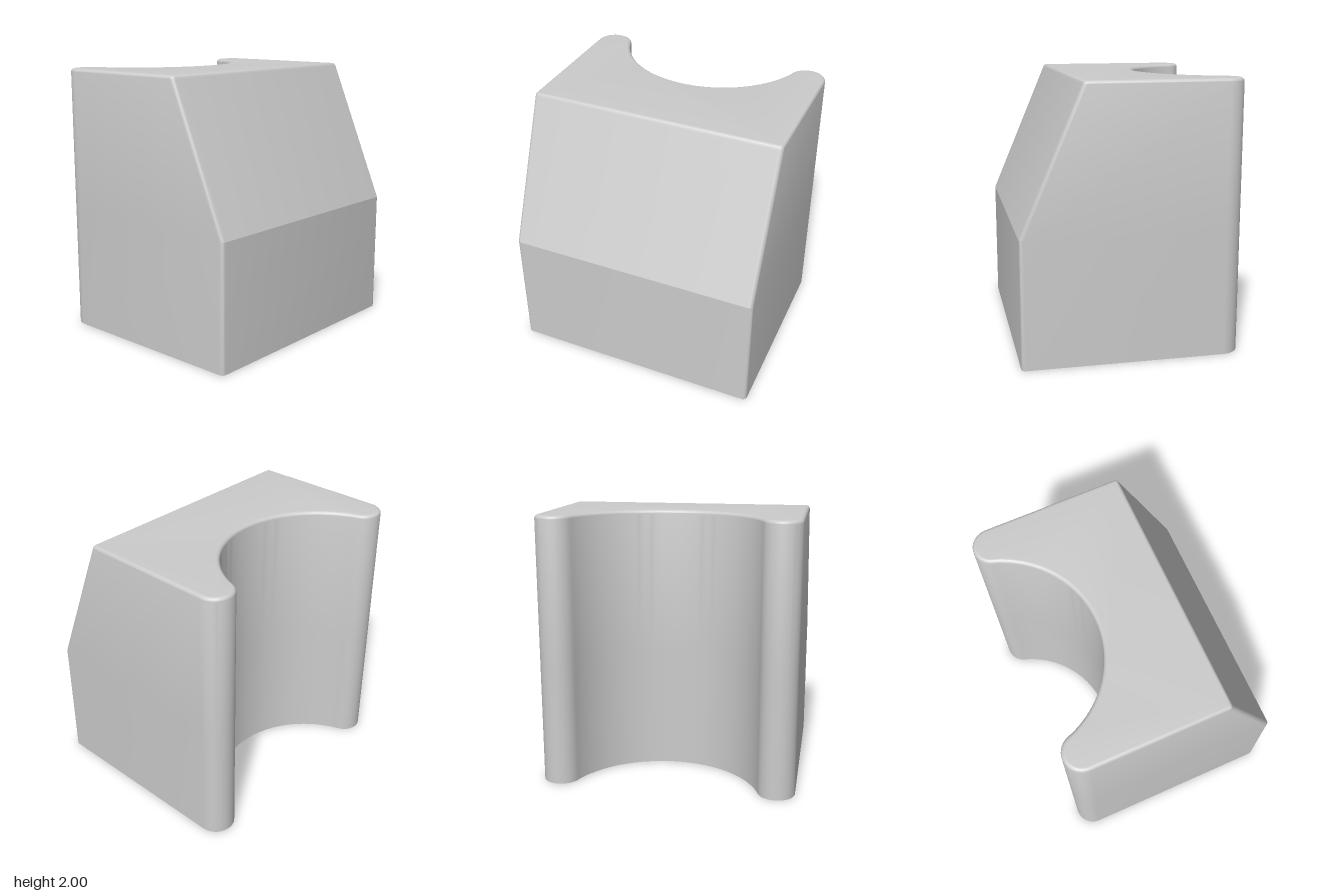
import * as THREE from 'three';
import { toCreasedNormals } from 'three/addons/utils/BufferGeometryUtils.js';

const HALF_DEPTH = 0.95;
const CORNER = 0.03;                                // vertical corner rounding
const FILLET = 0.028;                               // top edge rounding
const TIP = { x: -0.667, z: 0.812, r: 0.138 };      // rounded ends of the arms
const HOLLOW = { x: -0.947, r: 0.722 };             // round cut-out
const KNEE = { x: 0.805, y: 0.935 };                // where the slope starts
const SLOPE = 0.425;                                // x lost per unit of height
const slopeX = (y) => KNEE.x - Math.max(0, y - KNEE.y) * SLOPE;

// Plan outline, shrunk by inset, with its straight side at x = right
function outline(right, inset) {
  const pts = [];
  const arc = (cx, cz, r, from, to, n, skip = 0) => {
    for (let i = skip; i <= n - skip; i++) {
      const a = from + ((to - from) * i) / n;
      pts.push(new THREE.Vector2(cx + r * Math.cos(a), cz + r * Math.sin(a)));
    }
  };
  const P = Math.PI;
  const touch = Math.atan2(TIP.z, TIP.x - HOLLOW.x);
  const c = CORNER - inset;
  const cz = HALF_DEPTH - CORNER;
  arc(right - c, cz, c, 0, P / 2, 6);
  arc(TIP.x, TIP.z, TIP.r - inset, P / 2, P + touch, 20);
  arc(HOLLOW.x, 0, HOLLOW.r + inset, touch, -touch, 56, 1);
  arc(TIP.x, -TIP.z, TIP.r - inset, P - touch, 1.5 * P, 20);
  arc(right - c, -cz, c, -P / 2, 0, 6);
  return pts;
}

function blockGeometry() {
  // Straight sides, then the slope, then the rounded top edge
  const sections = [
    { y: 0, right: KNEE.x, inset: 0 },
    { y: KNEE.y, right: KNEE.x, inset: 0 },
  ];
  const y0 = 2 - FILLET;
  const lean = Math.atan(SLOPE);
  const centreX = slopeX(y0) - FILLET / Math.cos(lean);
  for (let i = 0; i <= 8; i++) {
    const t = ((Math.PI / 2) * i) / 8;
    const y = y0 + FILLET * Math.sin(t);
    const right = t < lean ? slopeX(y) : centreX + FILLET * Math.cos(t);
    sections.push({ y, right, inset: FILLET * (1 - Math.cos(t)) });
  }

  const rings = sections.map((s) => outline(s.right, s.inset));
  const n = rings[0].length;
  const positions = [];
  const index = [];
  rings.forEach((ring, k) => ring.forEach((p) => positions.push(p.x, sections[k].y, p.y)));

  // Walls between neighbouring sections
  for (let k = 0; k < rings.length - 1; k++) {
    for (let i = 0; i < n; i++) {
      const a = k * n + i;
      const b = k * n + ((i + 1) % n);
      index.push(a, a + n, b, b, a + n, b + n);
    }
  }
  // Flat bottom and top
  const top = (rings.length - 1) * n;
  for (const [a, b, c] of THREE.ShapeUtils.triangulateShape(rings[0].slice(), [])) {
    index.push(a, b, c);
  }
  for (const [a, b, c] of THREE.ShapeUtils.triangulateShape(rings[rings.length - 1].slice(), [])) {
    index.push(top + a, top + c, top + b);
  }

  const geometry = new THREE.BufferGeometry();
  geometry.setAttribute('position', new THREE.Float32BufferAttribute(positions, 3));
  geometry.setIndex(index);
  return toCreasedNormals(geometry, 0.35);
}

export function createModel() {
  const group = new THREE.Group();
  group.name = 'hollowedWedgeBlock';
  const block = new THREE.Mesh(
    blockGeometry(),
    new THREE.MeshStandardMaterial({ color: 0xcccccc })
  );
  block.name = 'block';
  group.add(block);
  return group;
}
